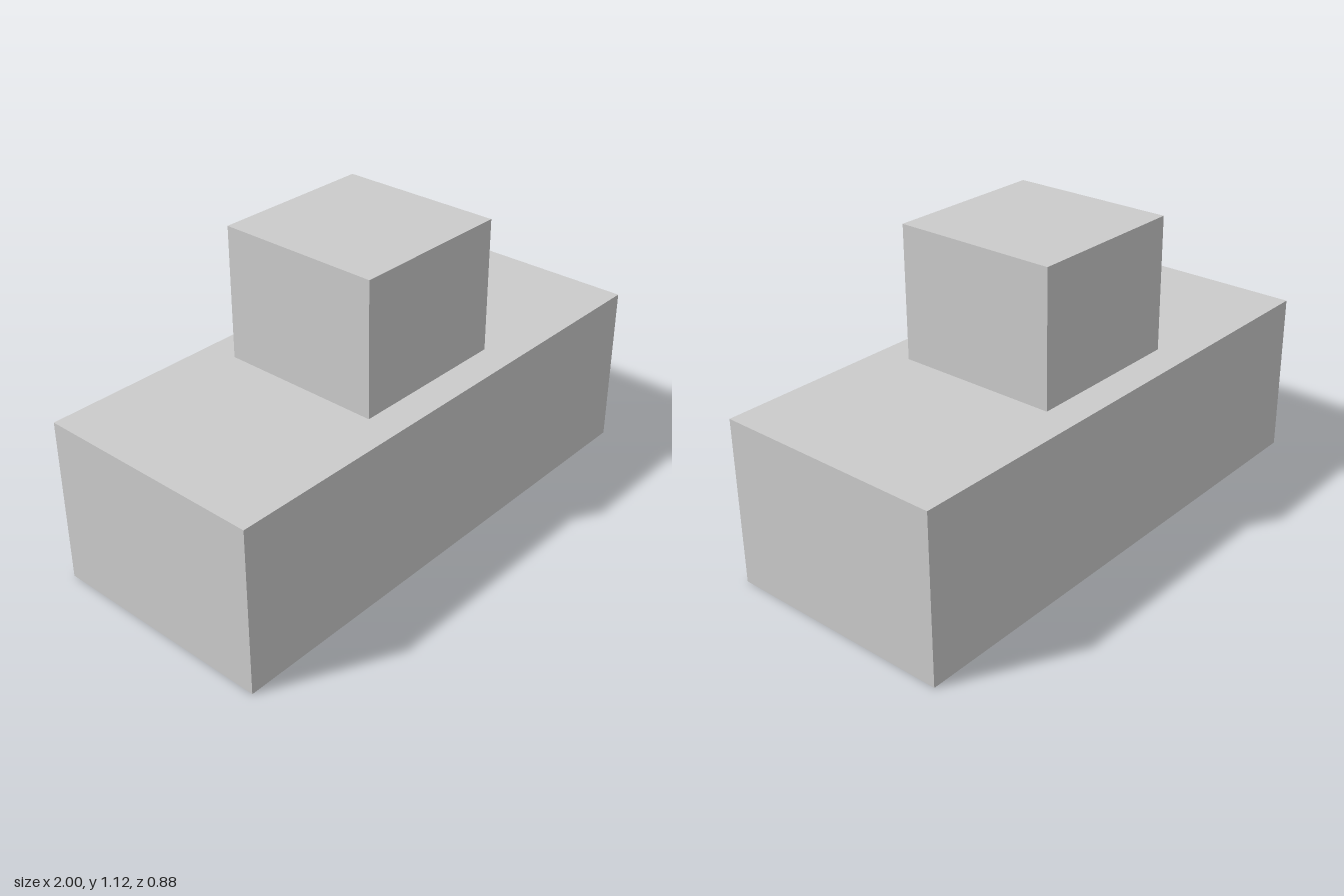
import * as THREE from 'three';

const material = new THREE.MeshStandardMaterial({ color: 0xcccccc, flatShading: true });

// Box standing on the height `bottom`, centred on x and z
function block(name, width, height, depth, bottom) {
  const mesh = new THREE.Mesh(new THREE.BoxGeometry(width, height, depth), material);
  mesh.name = name;
  mesh.position.y = bottom + height / 2;
  return mesh;
}

export function createModel() {
  const model = new THREE.Group();
  model.name = 'steppedBlock';
  const baseHeight = 0.625;
  model.add(
    block('base', 2, baseHeight, 0.875, 0), // long lower block
    block('topBlock', 0.625, 0.5, 0.625, baseHeight), // smaller block on its middle
  );
  return model;
}
